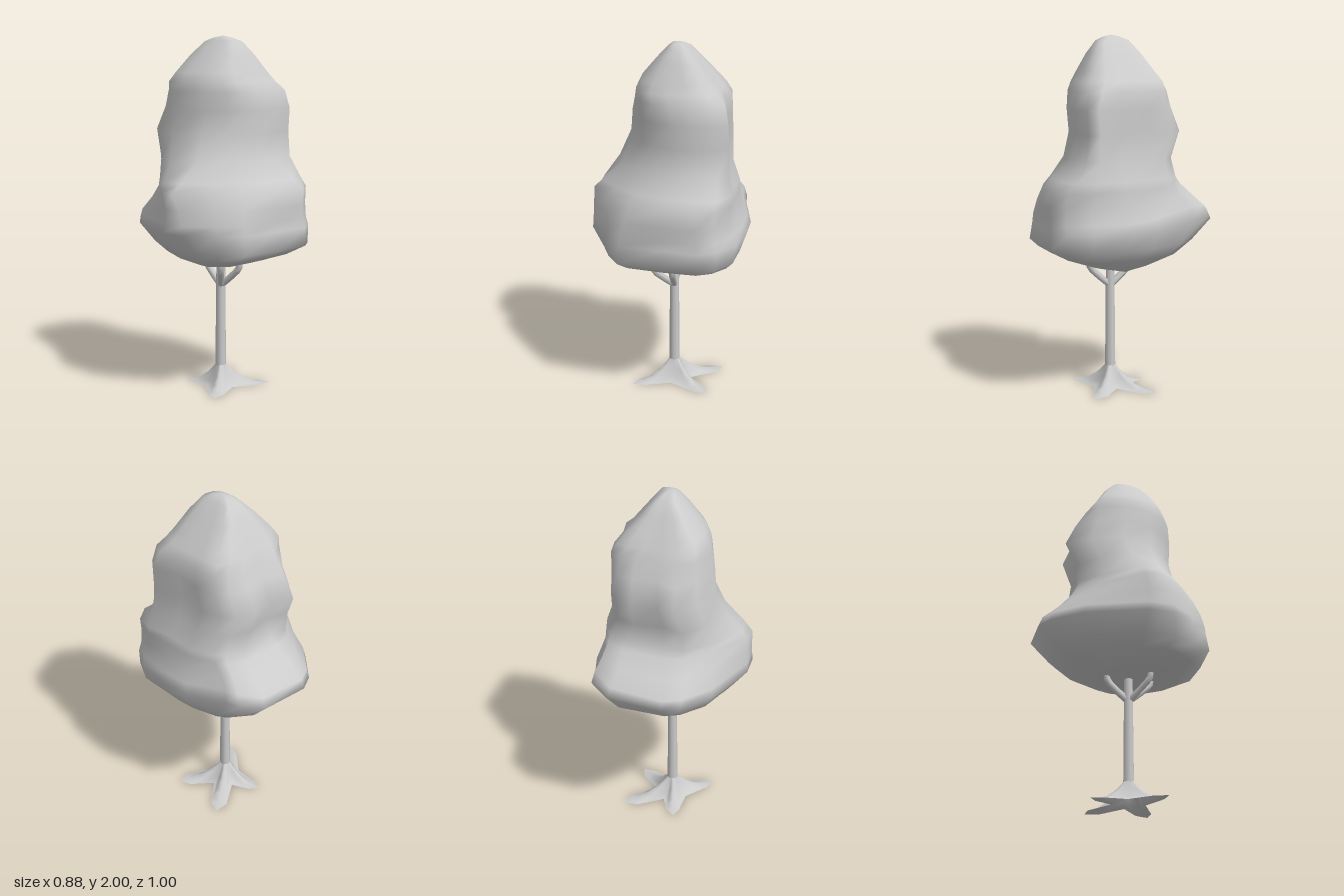
import * as THREE from 'three';
import { mergeVertices } from 'three/addons/utils/BufferGeometryUtils.js';

const material = new THREE.MeshStandardMaterial({ color: 0xcccccc, side: THREE.DoubleSide });

// Skin a stack of closed rings (bottom to top) with smooth normals
function loft(rings) {
  const n = rings[0].length, index = [];
  for (let j = 0; j < rings.length - 1; j++) {
    for (let i = 0; i < n; i++) {
      const a = j * n + i, b = j * n + (i + 1) % n;
      index.push(a, b, b + n, a, b + n, a + n);
    }
  }
  let geometry = new THREE.BufferGeometry();
  geometry.setAttribute('position', new THREE.Float32BufferAttribute(rings.flat(2), 3));
  geometry.setIndex(index);
  geometry = mergeVertices(geometry);
  geometry.computeVertexNormals();
  return geometry;
}

function addMesh(group, name, geometry) {
  const mesh = new THREE.Mesh(geometry, material);
  mesh.name = name;
  group.add(mesh);
}

// Scale an outline of [x, z] points to fill 0..1 on both axes
function normalise(outline) {
  const [xs, zs] = [0, 1].map((k) => outline.map((p) => p[k]));
  const [x0, x1, z0, z1] = [Math.min(...xs), Math.max(...xs), Math.min(...zs), Math.max(...zs)];
  return outline.map(([x, z]) => [(x - x0) / (x1 - x0), (z - z0) / (z1 - z0)]);
}

// Plan outlines of the foliage, each starting at the front and turning left
const base = normalise([[0, 0.47], [0.2, 0.49], [0.29, 0.44], [0.37, 0.32], [0.39, 0.12], [0.39, -0.03],
  [0.36, -0.22], [0.33, -0.29], [0.24, -0.36], [-0.02, -0.39], [-0.1, -0.36], [-0.22, -0.25],
  [-0.34, 0], [-0.36, 0.17], [-0.31, 0.3], [-0.24, 0.42]]);
const skirt = normalise([[0, 0.46], [0.2, 0.5], [0.3, 0.45], [0.39, 0.33], [0.43, 0.12], [0.44, -0.03],
  [0.39, -0.28], [0.39, -0.37], [0.28, -0.46], [-0.02, -0.5], [-0.12, -0.46], [-0.27, -0.32],
  [-0.43, 0], [-0.44, 0.14], [-0.33, 0.3], [-0.23, 0.42]]);
const shoulder = normalise([[0, 0.45], [0.2, 0.48], [0.29, 0.43], [0.36, 0.3], [0.37, 0.12], [0.38, -0.03],
  [0.35, -0.18], [0.32, -0.24], [0.23, -0.29], [0, -0.32], [-0.1, -0.31], [-0.22, -0.22],
  [-0.41, -0.02], [-0.43, 0.07], [-0.31, 0.24], [-0.18, 0.36]]);
const crown = normalise([[0.05, 0.32], [0.15, 0.33], [0.29, 0.32], [0.34, 0.27], [0.3, 0.1], [0.33, -0.06],
  [0.31, -0.18], [0.27, -0.25], [0.18, -0.31], [0.04, -0.3], [-0.06, -0.37], [-0.16, -0.25],
  [-0.24, -0.08], [-0.2, 0.1], [-0.13, 0.2], [-0.06, 0.27]]);
const cap = normalise([[0, 0.24], [0.12, 0.26], [0.24, 0.25], [0.28, 0.18], [0.29, 0.08], [0.3, -0.05],
  [0.3, -0.17], [0.23, -0.2], [0.14, -0.21], [0.04, -0.22], [-0.06, -0.24], [-0.16, -0.22],
  [-0.21, -0.08], [-0.2, 0.06], [-0.16, 0.17], [-0.09, 0.22]]);
const outlines = [base, skirt, shoulder, crown, cap];

// Foliage levels: y, x min, x max, z min, z max, position along the outlines
const levels = [
  [0.7, 0.2, 0.2, 0.04, 0.04, 0],
  [0.735, -0.17, 0.28, -0.12, 0.22, 0],
  [0.79, -0.31, 0.35, -0.29, 0.38, 0],
  [0.85, -0.365, 0.395, -0.39, 0.495, 0],
  [0.95, -0.435, 0.44, -0.5, 0.49, 0.9],
  [1.0, -0.43, 0.42, -0.48, 0.485, 1],
  [1.08, -0.43, 0.39, -0.39, 0.485, 1.4],
  [1.17, -0.435, 0.38, -0.315, 0.48, 2],
  [1.22, -0.39, 0.375, -0.295, 0.42, 2.3],
  [1.33, -0.31, 0.345, -0.31, 0.33, 2.9],
  [1.47, -0.25, 0.34, -0.37, 0.315, 3],
  [1.6, -0.235, 0.335, -0.31, 0.325, 3.1],
  [1.7, -0.215, 0.32, -0.25, 0.305, 3.6],
  [1.75, -0.2, 0.28, -0.215, 0.27, 4],
  [1.8, -0.175, 0.24, -0.18, 0.24, 4],
  [1.9, -0.09, 0.155, -0.12, 0.19, 4],
  [1.97, -0.025, 0.095, -0.06, 0.14, 4],
  [1.99, 0, 0.06, -0.01, 0.09, 4],
  [2.0, 0.03, 0.03, 0.04, 0.04, 4],
];

// One ring of foliage; the skirt rises towards its back left corner
function foliageRing([y, x0, x1, z0, z1, blend]) {
  const k = Math.min(Math.floor(blend), 3), t = blend - k;
  const outline = normalise(outlines[k].map((p, i) => p.map((v, c) => v + (outlines[k + 1][i][c] - v) * t)));
  const rise = 0.08 * Math.exp(-(((y - 1.02) / 0.14) ** 2));
  return outline.map(([u, w], i) => [
    x0 + (x1 - x0) * u, y + rise * Math.exp(-(((i - 6.7) / 1.4) ** 2)), z0 + (z1 - z0) * w,
  ]);
}

const trunkX = 0.015, trunkZ = 0.04;

// Star of root toes flaring out of the trunk
function rootGeometry() {
  const tips = [[-0.21, 0.18], [0.23, 0.23], [0.285, -0.12], [-0.03, -0.19]];
  const polar = tips.map(([x, z]) => ({
    a: Math.atan2(x - trunkX, z - trunkZ), r: Math.hypot(x - trunkX, z - trunkZ),
  }));
  const rim = [];
  polar.forEach(({ a, r }, i) => {
    const next = polar[(i + 1) % 4].a;
    const gap = (next - a + Math.PI * 2) % (Math.PI * 2);
    rim.push([a - 0.2, r * 0.8], [a, r], [a + 0.2, r * 0.8], [a + gap / 2, 0.095]);
  });
  return loft([1, 0.75, 0.5, 0.25, 0.1, 0].map((s) => rim.map(([a, r]) => {
    const radius = 0.03 + (r - 0.03) * s;
    return [trunkX + Math.sin(a) * radius, 0.003 + 0.122 * (1 - s) ** 2.2, trunkZ + Math.cos(a) * radius];
  })));
}

export function createModel() {
  const tree = new THREE.Group();
  tree.name = 'tree';

  addMesh(tree, 'foliage', loft(levels.map(foliageRing)));

  // Trunk, slightly thicker at the foot
  const trunk = new THREE.CylinderGeometry(0.025, 0.031, 0.66, 8, 4);
  trunk.translate(trunkX, 0.44, trunkZ);
  addMesh(tree, 'trunk', trunk);

  addMesh(tree, 'roots', rootGeometry());

  // Branches curving up into the foliage
  const ends = [[-0.09, 0.13], [0.03, -0.08], [0.02, 0.17]];
  ends.forEach(([x, z]) => {
    const curve = new THREE.CatmullRomCurve3([
      new THREE.Vector3(trunkX, 0.59, trunkZ),
      new THREE.Vector3(trunkX + (x - trunkX) * 0.6, 0.655, trunkZ + (z - trunkZ) * 0.6),
      new THREE.Vector3(x, 0.71, z),
      new THREE.Vector3(x, 0.77, z),
    ]);
    addMesh(tree, 'branch', new THREE.TubeGeometry(curve, 8, 0.019, 6));
  });

  return tree;
}
